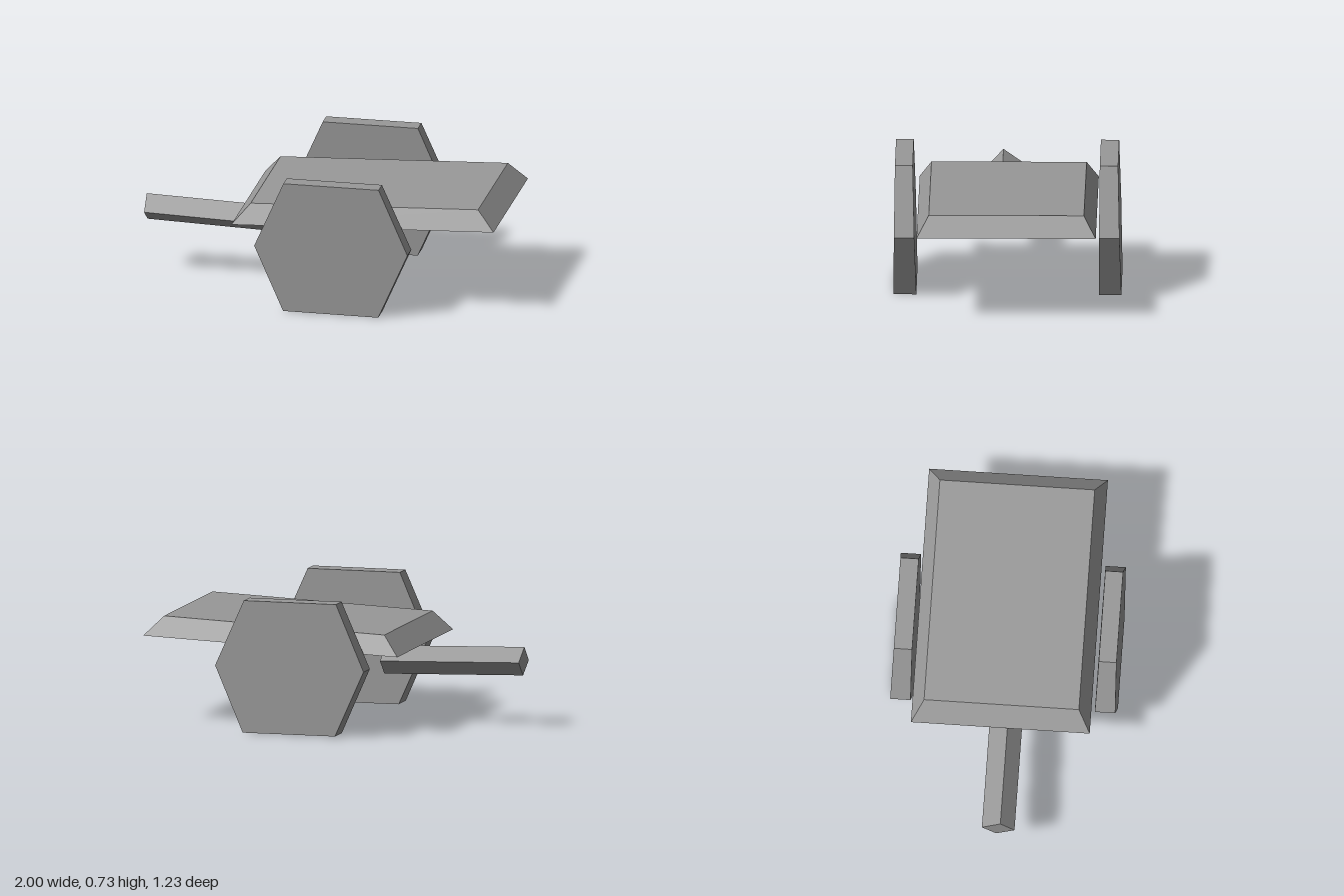
import * as THREE from 'three';

// Joins two matching rings of corners (counter-clockwise seen from ring b), with optional end caps.
function loft(a, b, capA, capB) {
  const pos = [];
  const tri = (...corners) => corners.forEach((c) => pos.push(...c));
  const n = a.length;
  for (let i = 0; i < n; i++) {
    const j = (i + 1) % n;
    tri(a[i], a[j], b[j]);
    tri(a[i], b[j], b[i]);
  }
  for (let i = 1; i < n - 1; i++) {
    if (capA) tri(a[0], a[i + 1], a[i]);
    if (capB) tri(b[0], b[i], b[i + 1]);
  }
  const geometry = new THREE.BufferGeometry();
  geometry.setAttribute('position', new THREE.Float32BufferAttribute(pos, 3));
  geometry.computeVertexNormals();
  return geometry;
}

export function createModel() {
  const group = new THREE.Group();
  const grey = new THREE.MeshStandardMaterial({
    name: 'grey', color: 0x999999, flatShading: true, side: THREE.DoubleSide,
  });
  const add = (name, geometry) => {
    const mesh = new THREE.Mesh(geometry, grey);
    mesh.name = name;
    group.add(mesh);
  };

  // Cart bed: sloping shell, open underneath, tilted up towards +x
  const bedRing = (x0, y0, x1, y1, z) => [[x1, y1, z], [x1, y1, -z], [x0, y0, -z], [x0, y0, z]];
  add('bed', loft(
    bedRing(-0.447, 0.436, 1.0, 0.48, 0.485),
    bedRing(-0.352, 0.543, 0.902, 0.583, 0.42),
    false, true,
  ));

  // Six-sided wheels, each slightly thinner at the top
  const hexagon = [
    [0.55, 0.36], [0.39, 0.722], [-0.135, 0.727],
    [-0.295, 0.366], [-0.135, 0.006], [0.39, 0.0],
  ];
  const wheelRing = (zBottom, zTop) =>
    hexagon.map(([x, y]) => [x, y, THREE.MathUtils.lerp(zBottom, zTop, y / 0.725)]);
  add('frontWheel', loft(wheelRing(0.493, 0.513), wheelRing(0.617, 0.609), true, true));
  add('backWheel', loft(wheelRing(-0.617, -0.599), wheelRing(-0.495, -0.5), true, true));

  // Handle: square bar set on edge, open at its inner end
  const handleRing = (x, drop) => [[0.038, 0.438], [0.115, 0.354], [0.015, 0.286], [-0.062, 0.367]]
    .map(([z, y]) => [x, y - drop, z]);
  add('handle', loft(handleRing(-1, 0), handleRing(-0.21, 0.031), true, false));

  return group;
}
